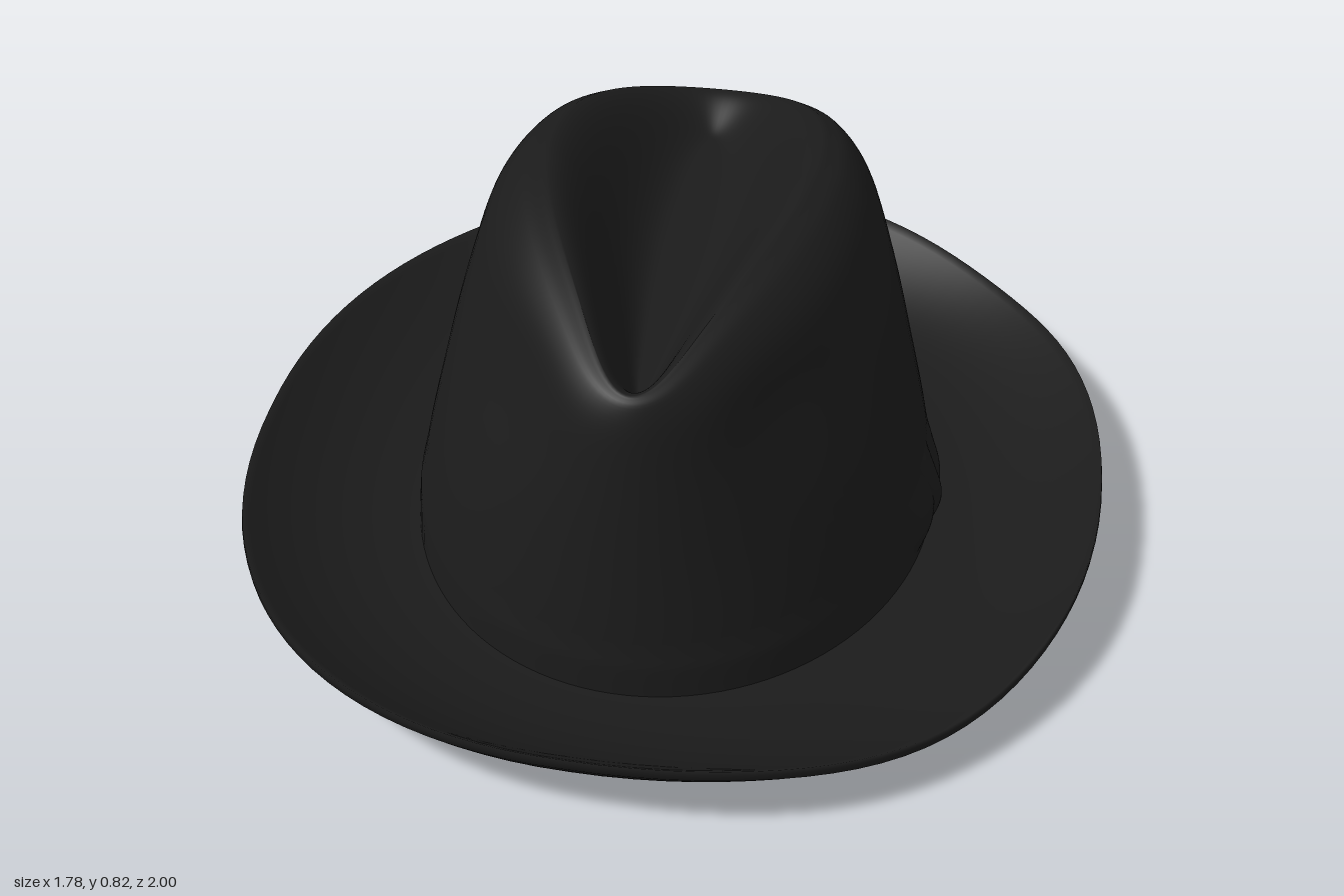
import * as THREE from 'three';
import { mergeVertices } from 'three/addons/utils/BufferGeometryUtils.js';
import { ParametricGeometry } from 'three/addons/geometries/ParametricGeometry.js';

const TAU = Math.PI * 2;
const { lerp, smoothstep, clamp } = THREE.MathUtils;

const paint = (name, color) => Object.assign(new THREE.MeshStandardMaterial({ color }), { name });
const bump = (x, mid, width) => Math.exp(-(((x - mid) / width) ** 2));
// Sine or cosine swollen into a slightly squarer oval
const square = (w, n) => Math.sign(w) * Math.abs(w) ** (2 / n);

// Smooth surface from a rule f(u, v) -> [x, y, z], welded at its seam
function surface(name, material, f, nu, nv) {
  let geo = new ParametricGeometry((u, v, p) => p.set(...f(u, v)), nu, nv);
  geo.deleteAttribute('uv');
  geo.deleteAttribute('normal');
  geo = mergeVertices(geo, 1e-5);
  geo.computeVertexNormals();
  const mesh = new THREE.Mesh(geo, material);
  mesh.name = name;
  return mesh;
}

// Crown wall profile: x = share of the way from ridge out to base, y = share of ridge height
const wall = new THREE.CatmullRomCurve3([
  [1, 0.04], [0.97, 0.18], [0.77, 0.49], [0.59, 0.72], [0.41, 0.89], [0.2, 0.975], [0, 1],
].map(([f, y]) => new THREE.Vector3(f, y, 0)));

// Crown point: angle a from the front, v 0..1 up the wall, 1..2 down into the top crease
function crown(a, v, inset = 0) {
  const s = Math.sin(a), c = Math.cos(a);
  const ridgeX = 0.27 * s * (1 - 0.45 * smoothstep(c, -0.15, 1.1)) * (1 + 0.22 * Math.max(0, -c));
  const ridgeZ = -0.02 + 0.61 * c;
  const ridgeY = 0.81 - 0.36 * ridgeZ * ridgeZ - 0.006 * s;
  let x, y, z;
  if (v <= 1) {
    const p = wall.getPoint(clamp(v, 0, 1));
    x = lerp(ridgeX, 0.54 * s, p.x);
    z = lerp(ridgeZ, -0.01 + 0.68 * c, p.x);
    y = ridgeY * p.y;
    // Pinched hollows on both front quarters
    x *= 1 - 0.1 * bump(Math.acos(clamp(c, -1, 1)), 0.75, 0.33) * bump(y, 0.58, 0.15);
  } else {
    const g = v - 1;
    x = ridgeX * (1 - g);
    z = lerp(ridgeZ, -0.01 + 0.47 * c, g);
    y = lerp(ridgeY, 0.61, smoothstep(g, 0, 0.85));
  }
  // Inset runs inward on the wall, outward behind the crease, and fades at its floor
  const side = inset * lerp(1, -0.7, smoothstep(v, 0.8, 1.2)) * (1 - smoothstep(v, 1.4, 2));
  return [x - side * s, y - inset * 0.8 * smoothstep(v, 0.3, 1), z - side * c];
}

// Brim point: closed cross-section k = 0..50, underside outward, then top inward
function brim(a, k) {
  const s = Math.sin(a), c = Math.cos(a);
  // Edge is turned up at the back and dips on the left quarters
  const rim = 0.155 + 0.01 * c * c + 0.043 * Math.max(0, -c) ** 7
    - 0.042 * bump(a, 0.72, 0.4) - 0.02 * bump(a, 2.35, 0.3);
  const under = (t) => (rim - 0.022) * t ** 3 + 0.016 * s * s * (1 - t);
  let t, y;
  if (k <= 24) { t = k / 24; y = under(t); }
  else if (k === 25) { t = 1.004; y = rim - 0.009; }
  else if (k < 50) { t = (49 - k) / 23; y = lerp(0.04, rim, t ** 2.3); }
  else { t = 0; y = under(0); }
  const n = lerp(2, 2.2, t);
  return [lerp(0.525, 0.89, t) * square(s, n), y, lerp(0.655, 0.998, t) * square(c, n)];
}

export function createModel() {
  const felt = paint('black felt', 0x1b1b1b);
  const leather = paint('brown leather', 0x5a3129);
  const satin = paint('pale lining satin', 0xcdc7c5);

  const hat = new THREE.Group();
  hat.name = 'hat';

  hat.add(surface('brim', felt, (u, v) => brim((u % 1) * TAU, Math.round(v * 50)), 112, 50));
  hat.add(surface('crown', felt, (u, v) => crown(u * TAU, v * 2), 112, 72));

  // Thin ribbon round the foot of the crown, easing into it at the upper edge
  hat.add(surface('ribbon', felt,
    (u, v) => crown(u * TAU, 0.2 * v, -0.004 * (1 - smoothstep(v, 0.7, 1))), 112, 12));

  // Soft bow on the left side: two loops and a knot, each a padded patch
  const bow = new THREE.Group();
  bow.name = 'bow';
  const pad = (name, mid, half, low, high, depth) => surface(name, felt, (u, v) => {
    const swell = Math.max(0, Math.sin(Math.PI * u) * Math.sin(Math.PI * v)) ** 0.7;
    return crown(mid + (u * 2 - 1) * half, lerp(low, high, v), -depth * swell);
  }, 16, 12);
  const bowAngle = Math.PI / 2 - 0.06;
  for (const side of [-1, 1]) {
    bow.add(pad(side < 0 ? 'frontLoop' : 'backLoop', bowAngle + side * 0.11, 0.14, 0.02, 0.2, 0.02));
  }
  bow.add(pad('knot', bowAngle, 0.08, 0.02, 0.21, 0.028));
  hat.add(bow);

  // Inside: leather sweatband hung from the brim opening, facing inward
  hat.add(surface('sweatband', leather, (u, v) => {
    const a = -u * TAU;
    const [x, y, z] = crown(a, 0.25 * v, lerp(0.017, 0.038, v));
    return [x, lerp(brim(a, 0)[1] + 0.002, y, Math.min(1, v * 3)), z];
  }, 112, 12));

  // Satin lining above it, following the crown and crease from beneath
  hat.add(surface('lining', satin, (u, v) => crown(-u * TAU, lerp(0.22, 2, v), 0.028), 112, 56));

  return hat;
}
